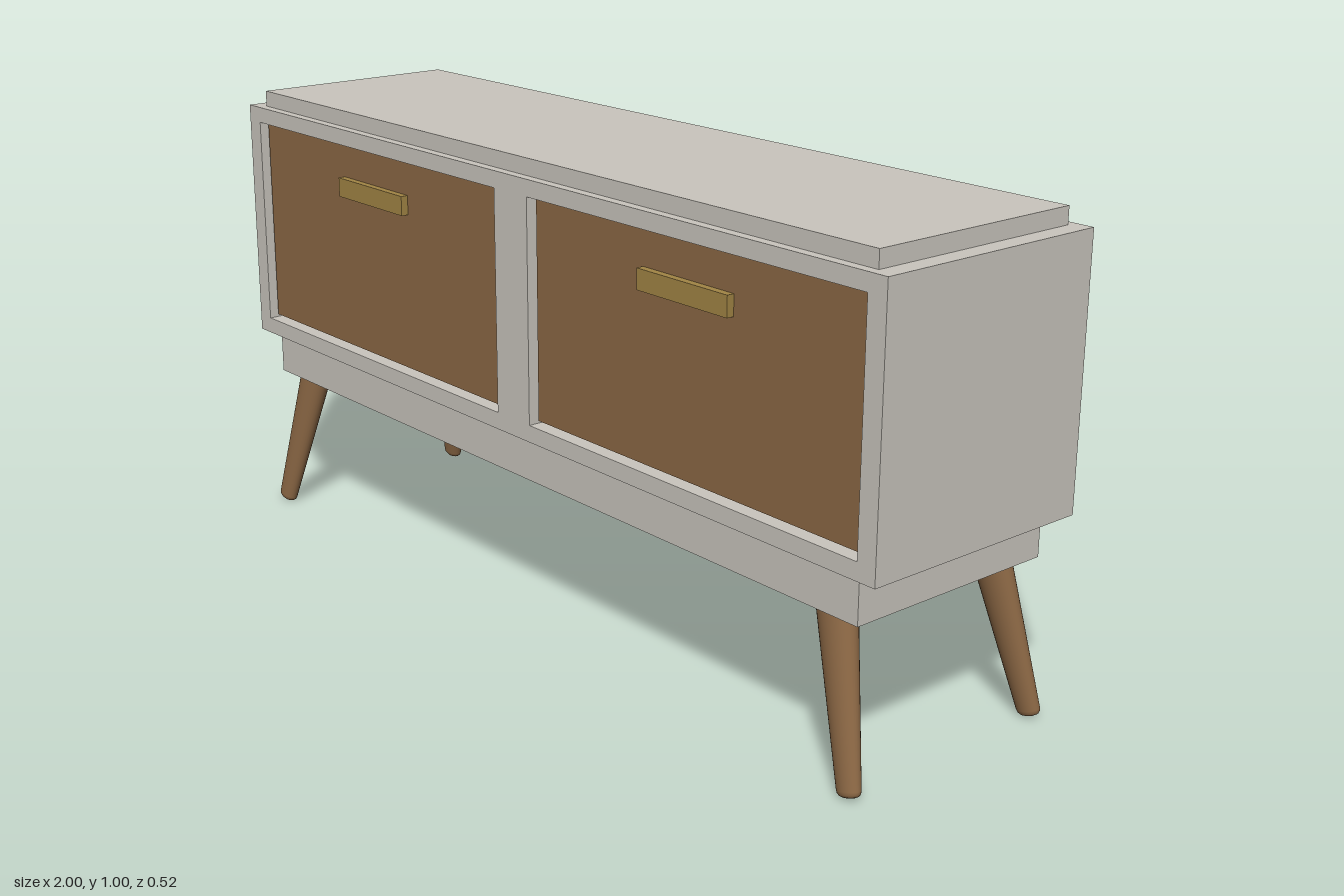
import * as THREE from 'three';

export function createModel() {
  const model = new THREE.Group();
  model.name = 'sideboard';

  const mat = (name, color) => {
    const m = new THREE.MeshStandardMaterial({ color });
    m.name = name;
    return m;
  };
  const paint = mat('greige paint', 0xcac6be);
  const wood = mat('walnut wood', 0x8c6845);
  const brass = mat('brass', 0xa28545);

  const add = (name, geometry, material) => {
    const mesh = new THREE.Mesh(geometry, material);
    mesh.name = name;
    model.add(mesh);
    return mesh;
  };
  // Box given by its extents
  const box = (name, x0, x1, y0, y1, z0, z1, material) =>
    add(name, new THREE.BoxGeometry(x1 - x0, y1 - y0, z1 - z0), material)
      .position.set((x0 + x1) / 2, (y0 + y1) / 2, (z0 + z1) / 2);
  const rect = (shape, x0, x1, y0, y1) =>
    shape.moveTo(x0, y0).lineTo(x1, y0).lineTo(x1, y1).lineTo(x0, y1).closePath();

  // Cabinet: a shell with two bays, closed by a back panel
  const depth = 0.262, backZ = -0.24;
  const outline = rect(new THREE.Shape(), -1, 1, 0.425, 0.965);
  for (const s of [-1, 1]) {
    const c = s * 0.505;
    outline.holes.push(rect(new THREE.Path(), c - 0.452, c + 0.452, 0.461, 0.93));
  }
  const shell = new THREE.ExtrudeGeometry(outline, { depth: depth * 2, bevelEnabled: false });
  add('cabinetShell', shell.translate(0, 0, -depth), paint);
  box('backPanel', -0.98, 0.98, 0.44, 0.95, backZ - 0.015, backZ, paint);

  // Top slab and plinth
  box('topSlab', -0.96, 0.96, 0.965, 1, -0.241, 0.241, paint);
  box('plinth', -0.945, 0.945, 0.33, 0.425, -0.241, 0.241, paint);

  // Drawers with bar handles
  for (const s of [-1, 1]) {
    const side = s < 0 ? 'right' : 'left', c = s * 0.505;
    box(side + 'Drawer', c - 0.442, c + 0.442, 0.47, 0.925, backZ, 0.246, wood);
    box(side + 'Handle', c - 0.122, c + 0.122, 0.813, 0.855, 0.246, 0.262, brass);
  }

  // Splayed, tapered legs with rounded feet, oval in plan
  const profile = [[0, 0], [0.011, 0], [0.0145, 0.002], [0.017, 0.006], [0.018, 0.012], [0.031, 0.36]]
    .map(([r, y]) => new THREE.Vector2(r, y));
  for (const sx of [-1, 1]) for (const sz of [-1, 1]) {
    const foot = new THREE.Vector3(sx * 0.946, 0.006, sz * 0.246);
    const head = new THREE.Vector3(sx * 0.86, 0.33, sz * 0.203);
    const leg = add((sz > 0 ? 'front' : 'back') + (sx > 0 ? 'Left' : 'Right') + 'Leg',
      new THREE.LatheGeometry(profile, 32).scale(1.45, 1, 1), wood);
    leg.position.copy(foot);
    leg.quaternion.setFromUnitVectors(new THREE.Vector3(0, 1, 0), head.sub(foot).normalize());
  }
  return model;
}
